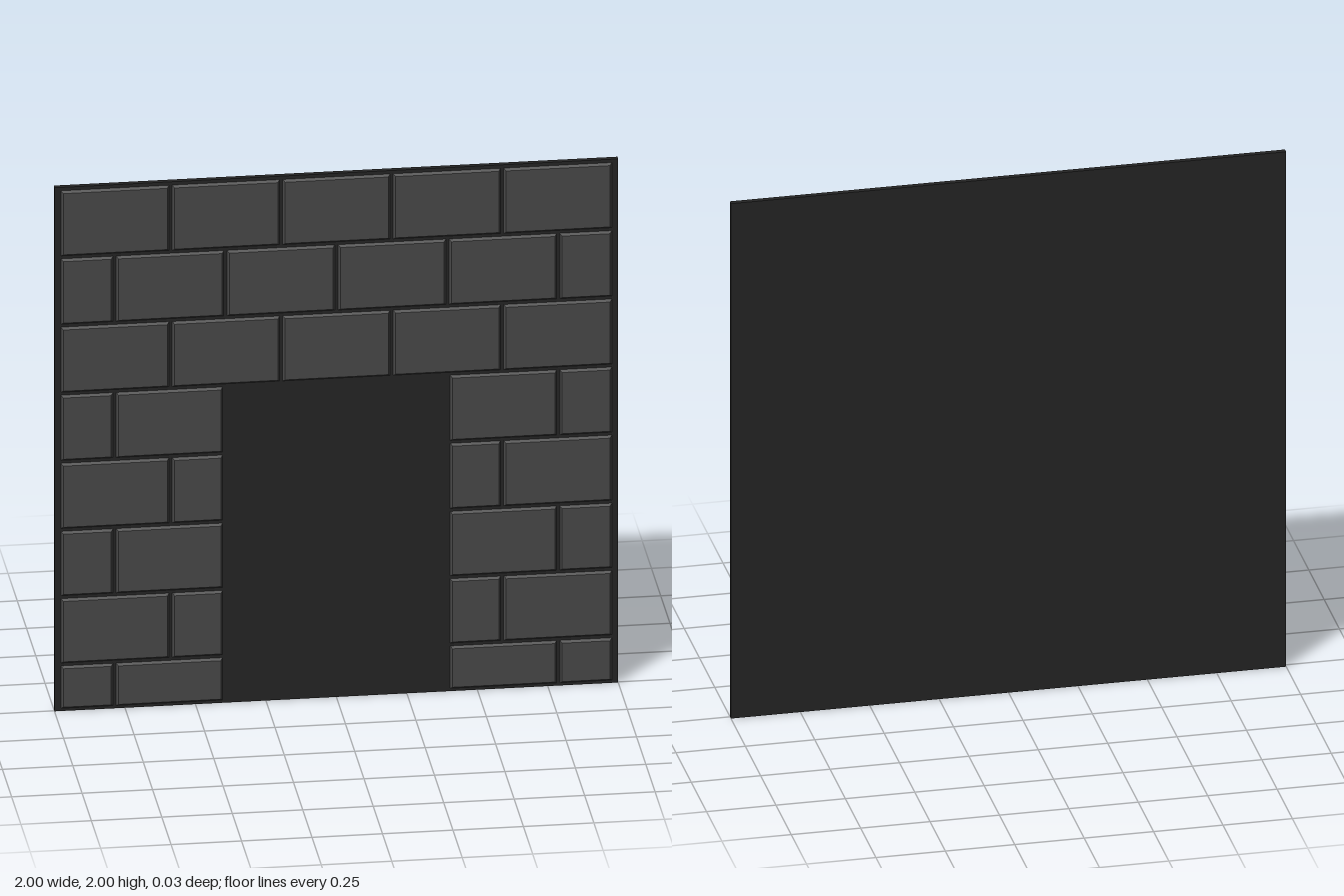
import * as THREE from 'three';

const slabMat = new THREE.MeshStandardMaterial({ color: 0x242424 });
slabMat.name = 'dark mortar';
const brickMat = new THREE.MeshStandardMaterial({ color: 0x484848 });
brickMat.name = 'grey stone';

const BACK = -0.015, MORTAR = 0.005, FRONT = 0.015;
const GAP = 0.005, BEVEL = 0.008;

// Block whose front face is drawn in to give a bevelled rim
function makeBrick(x0, x1, y0, y1) {
  const w = x1 - x0 - 2 * GAP, h = y1 - y0 - 2 * GAP, d = FRONT - MORTAR + 0.001;
  const geo = new THREE.BoxGeometry(w, h, d);
  const p = geo.attributes.position;
  for (let i = 0; i < p.count; i++) {
    if (p.getZ(i) > 0) {
      p.setX(i, p.getX(i) - Math.sign(p.getX(i)) * BEVEL);
      p.setY(i, p.getY(i) - Math.sign(p.getY(i)) * BEVEL);
    }
  }
  geo.computeVertexNormals();
  const brick = new THREE.Mesh(geo, brickMat);
  brick.name = 'brick';
  brick.position.set((x0 + x1) / 2, (y0 + y1) / 2, FRONT - d / 2);
  return brick;
}

export function createModel() {
  const model = new THREE.Group();
  model.name = 'brickWall';

  // Backing slab, also seen through the doorway
  const slab = new THREE.Mesh(new THREE.BoxGeometry(2, 2, MORTAR - BACK), slabMat);
  slab.name = 'backingSlab';
  slab.position.set(0, 1, (BACK + MORTAR) / 2);
  model.add(slab);

  // Courses from the top down, with alternating joints
  const rowEdges = [1.993, 1.733, 1.472, 1.212, 0.952, 0.692, 0.435, 0.178, 0.005];
  const joints = [
    [-0.983, -0.588, -0.196, 0.196, 0.588, 0.983],
    [-0.983, -0.787, -0.394, 0, 0.394, 0.787, 0.983],
  ];
  const door = 0.398;
  for (let r = 0; r < rowEdges.length - 1; r++) {
    const course = new THREE.Group();
    course.name = 'course' + (r + 1);
    const xs = joints[r % 2];
    for (let i = 0; i < xs.length - 1; i++) {
      let x0 = xs[i], x1 = xs[i + 1];
      // Lower courses stop at the doorway
      if (r >= 3) {
        if (x0 < 0) x1 = Math.min(x1, -door);
        if (x1 > 0) x0 = Math.max(x0, door);
        if (x1 - x0 < 0.05) continue;
      }
      course.add(makeBrick(x0, x1, rowEdges[r + 1], rowEdges[r]));
    }
    model.add(course);
  }
  return model;
}
